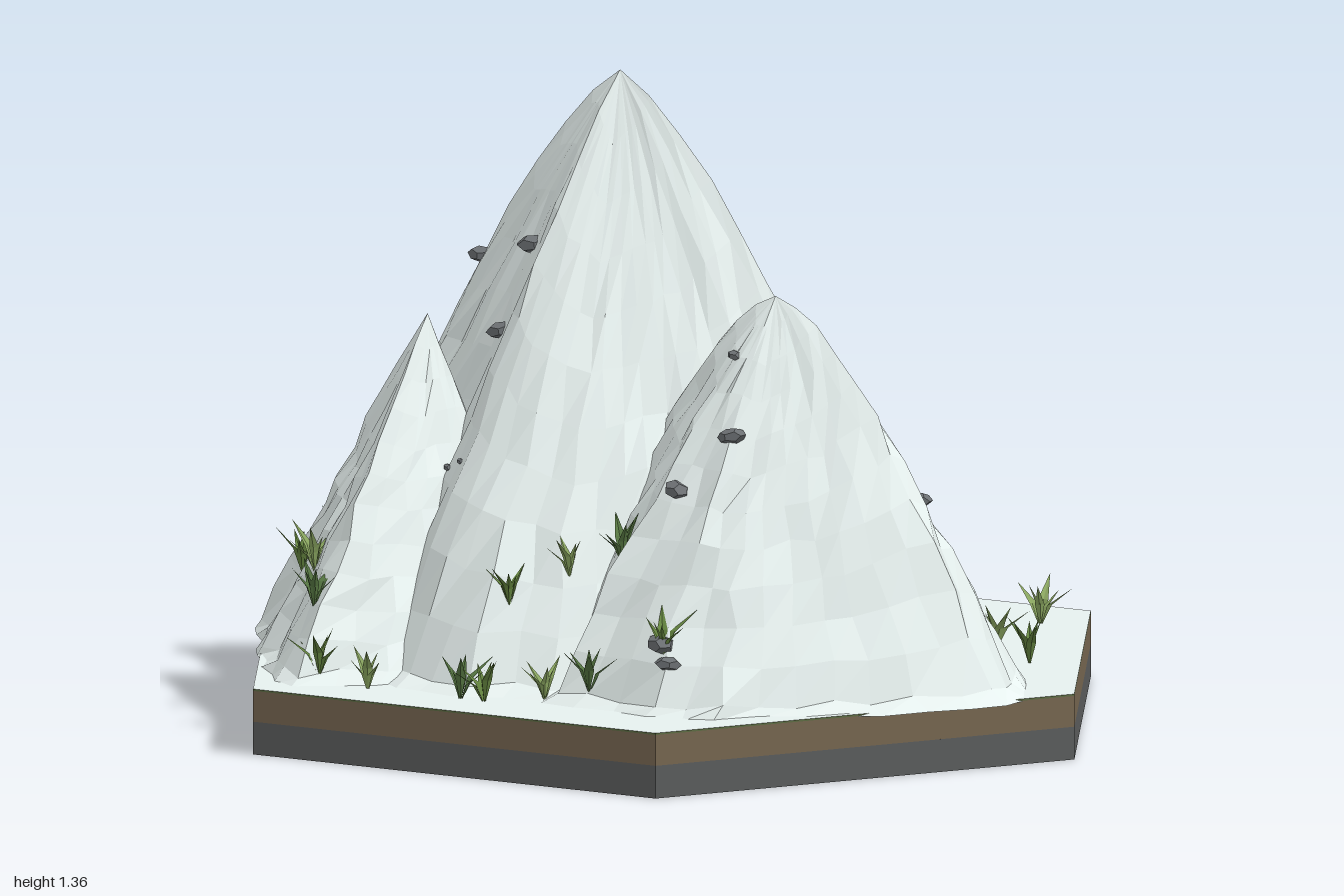
import * as THREE from 'three';
import { mergeGeometries } from 'three/addons/utils/BufferGeometryUtils.js';

const GROUND = 0.14;
const mat = (color, side = THREE.FrontSide) =>
  new THREE.MeshStandardMaterial({ color, side, flatShading: true });

function seeded(seed) {
  return () => {
    seed = (seed * 16807) % 2147483647;
    return seed / 2147483647;
  };
}

// Faceted peak: sloping columns run from the summit to a footprint.
// Footprint corners are [x, z, bulge]; a bulge above 1 rounds the slope outward.
// The outermost ring is a low toe of scree around the steep slope.
function peakGeometry([px, py, pz], corners, seed) {
  const rand = seeded(seed), rings = 12, toe = 0.93, columns = [];
  corners.forEach((a, i) => {
    const b = corners[(i + 1) % corners.length];
    const steps = Math.max(1, Math.round(Math.hypot(b[0] - a[0], b[1] - a[1]) / 0.09));
    for (let s = 0; s < steps; s++) {
      const u = s / steps;
      columns.push(a.map((v, k) => v + (b[k] - v) * u));
    }
  });
  const positions = [], index = [], n = columns.length;
  columns.forEach(([x, z, bulge]) => {
    const flute = (rand() - 0.5) * 0.05;
    for (let k = 0; k <= rings; k++) {
      const t = k < rings ? (toe * k) / (rings - 1) : 1;
      const rough = 0.024 * Math.min(1, t * 1.6);
      const reach = t * (1 + flute * t);
      const slope = Math.max(0, 1 - (t / toe) ** bulge);
      const y = GROUND + 0.02 + (py - GROUND - 0.02) * slope;
      positions.push(
        px + (x - px) * reach + (rand() - 0.5) * rough,
        k === rings ? GROUND - 0.005 : y + (rand() - 0.5) * rough * 0.7,
        pz + (z - pz) * reach + (rand() - 0.5) * rough);
    }
  });
  for (let i = 0; i < n; i++) {
    for (let k = 0; k < rings; k++) {
      const a = i * (rings + 1) + k, b = ((i + 1) % n) * (rings + 1) + k;
      if (k) index.push(a, b, b + 1);
      index.push(a, b + 1, a + 1);
    }
  }
  const g = new THREE.BufferGeometry();
  g.setAttribute('position', new THREE.Float32BufferAttribute(positions, 3));
  g.setIndex(index);
  const flat = g.toNonIndexed();
  flat.computeVertexNormals();
  return flat;
}

// Folded, arching grass blade pointing along +x
function bladeGeometry(length, lean) {
  const w = length * 0.1, tip = [length * lean, length * 0.9, 0];
  const root = [0, 0, 0], mid = [length * lean * 0.35, length * 0.5, 0];
  const left = [mid[0] - w * 0.5, mid[1], w], right = [mid[0] - w * 0.5, mid[1], -w];
  const g = new THREE.BufferGeometry();
  g.setAttribute('position', new THREE.Float32BufferAttribute(
    [root, mid, left, mid, tip, left, root, right, mid, mid, right, tip].flat(), 3));
  g.computeVertexNormals();
  return g;
}

function tuftGeometry(rand) {
  const blades = [], turn = rand() * 6.28, count = 6;
  for (let i = 0; i < count; i++) {
    const blade = bladeGeometry(0.075 + rand() * 0.045, i < 2 ? 0.25 : 0.45 + rand() * 0.4);
    blade.rotateY(turn + (i / count) * Math.PI * 2 + rand() * 0.6);
    blades.push(blade);
  }
  return mergeGeometries(blades);
}

function rockGeometry(rand) {
  const g = new THREE.DodecahedronGeometry(1, 0);
  g.scale(1, 0.5, 0.75);
  g.rotateZ((rand() - 0.5) * 0.4);
  g.rotateY((rand() - 0.5) * 1.6);
  return g;
}

export function createModel() {
  const model = new THREE.Group();
  model.name = 'mountainTile';
  const add = (name, geometry, material, parent = model) => {
    const mesh = new THREE.Mesh(geometry, material);
    mesh.name = name;
    parent.add(mesh);
    return mesh;
  };
  const snow = mat(0xe6f0ee);

  // Hexagonal base in layers
  const layer = (name, bottom, top, material) => {
    const g = new THREE.CylinderGeometry(1, 1, top - bottom, 6, 1, false, Math.PI / 2);
    add(name, g, material).position.y = (bottom + top) / 2;
  };
  layer('stoneLayer', 0, 0.07, mat(0x5a5c5c));
  layer('soilLayer', 0.07, 0.136, mat(0x75654f));
  layer('groundLayer', 0.136, GROUND, [mat(0x5c6b42), snow, snow]);

  // Three overlapping peaks
  const mountain = new THREE.Group();
  mountain.name = 'mountain';
  model.add(mountain);
  add('mainPeak', peakGeometry([-0.16, 1.36, -0.05], [
    [-0.97, -0.05, 1.33], [-0.58, -0.48, 1.2], [-0.34, -0.77, 1.2], [-0.17, -0.84, 1.3],
    [0.1, -0.72, 1.1], [0.32, -0.5, 1.05], [0.7, -0.18, 1.15], [0.72, -0.05, 1.33],
    [0.5, 0.3, 1], [0.1, 0.68, 0.88], [-0.18, 0.73, 1], [-0.34, 0.66, 1.12],
    [-0.54, 0.35, 1.2], [-0.92, 0.1, 1.15],
  ], 11), snow, mountain);
  add('leftPeak', peakGeometry([0.37, 0.96, 0.18], [
    [-0.22, 0.16, 1.5], [0.02, -0.16, 1.2], [0.37, -0.44, 1.1], [0.83, -0.12, 1.15],
    [0.92, 0.02, 1.3], [0.95, 0.17, 1.55], [0.78, 0.41, 1.2], [0.53, 0.67, 1.05],
    [0.38, 0.73, 1.1], [0.1, 0.69, 1.1],
  ], 23), snow, mountain);
  add('rightPeak', peakGeometry([-0.47, 0.85, 0.22], [
    [-0.92, 0.22, 1.05], [-0.47, -0.17, 1], [-0.1, 0.24, 1], [-0.29, 0.69, 0.95],
    [-0.45, 0.82, 1.05], [-0.63, 0.62, 0.92], [-0.76, 0.43, 0.95],
  ], 37), snow, mountain);

  // Surface height under a point, so details sit on the slopes
  const ray = new THREE.Raycaster();
  const heightAt = (x, z) => {
    ray.set(new THREE.Vector3(x, 3, z), new THREE.Vector3(0, -1, 0));
    const hit = ray.intersectObject(mountain, true)[0];
    return hit ? Math.max(GROUND, hit.point.y) : GROUND;
  };

  // Loose rocks: x, z, size
  const rand = seeded(97), stone = mat(0x6c7073);
  [
    [-0.63, -0.12, 0.04], [-0.5, -0.05, 0.036], [-0.55, 0.07, 0.036], [-0.28, 0.1, 0.039],
    [-0.31, 0.18, 0.036], [-0.12, -0.4, 0.036], [-0.07, -0.42, 0.042], [0.07, -0.46, 0.031],
    [0.16, -0.23, 0.036], [0.21, -0.18, 0.031], [0.63, 0.03, 0.033], [0.32, 0.26, 0.021],
    [0.28, 0.43, 0.036], [0.38, 0.37, 0.034], [0.36, 0.62, 0.04], [0.39, 0.64, 0.03],
    [-0.25, -0.17, 0.015], [-0.33, -0.28, 0.014], [-0.52, -0.17, 0.015],
    [-0.15, -0.34, 0.02], [0.06, -0.71, 0.018], [-0.35, 0.33, 0.014], [-0.3, 0.36, 0.012],
  ].forEach(([x, z, size]) => {
    const rock = add('rock', rockGeometry(rand), stone);
    rock.scale.setScalar(size);
    rock.position.set(x, heightAt(x, z), z);
  });

  // Grass tufts: x, z
  const greens = [0x64843f, 0x8aa660, 0x557541].map((c) => mat(c, THREE.DoubleSide));
  [
    [-0.43, -0.71], [-0.36, -0.64], [0.03, -0.64], [0.14, -0.72], [0.49, -0.68],
    [0.26, -0.5], [0.43, -0.34], [0.56, -0.39], [0.55, -0.24], [0.72, -0.27],
    [-0.71, -0.26], [-0.82, 0.03], [-0.7, 0.35], [-0.6, 0.46], [-0.49, 0.64],
    [-0.42, 0.73], [-0.3, 0.73], [-0.07, 0.73], [-0.01, 0.73], [0.09, 0.65],
    [0.2, 0.65], [-0.06, 0.55], [0.04, 0.47], [0.17, 0.47], [0.37, 0.63],
  ].forEach(([x, z], i) => {
    const tuft = add('grassTuft', tuftGeometry(rand), greens[i % 3]);
    tuft.position.set(x, heightAt(x, z) - 0.01, z);
  });

  return model;
}
